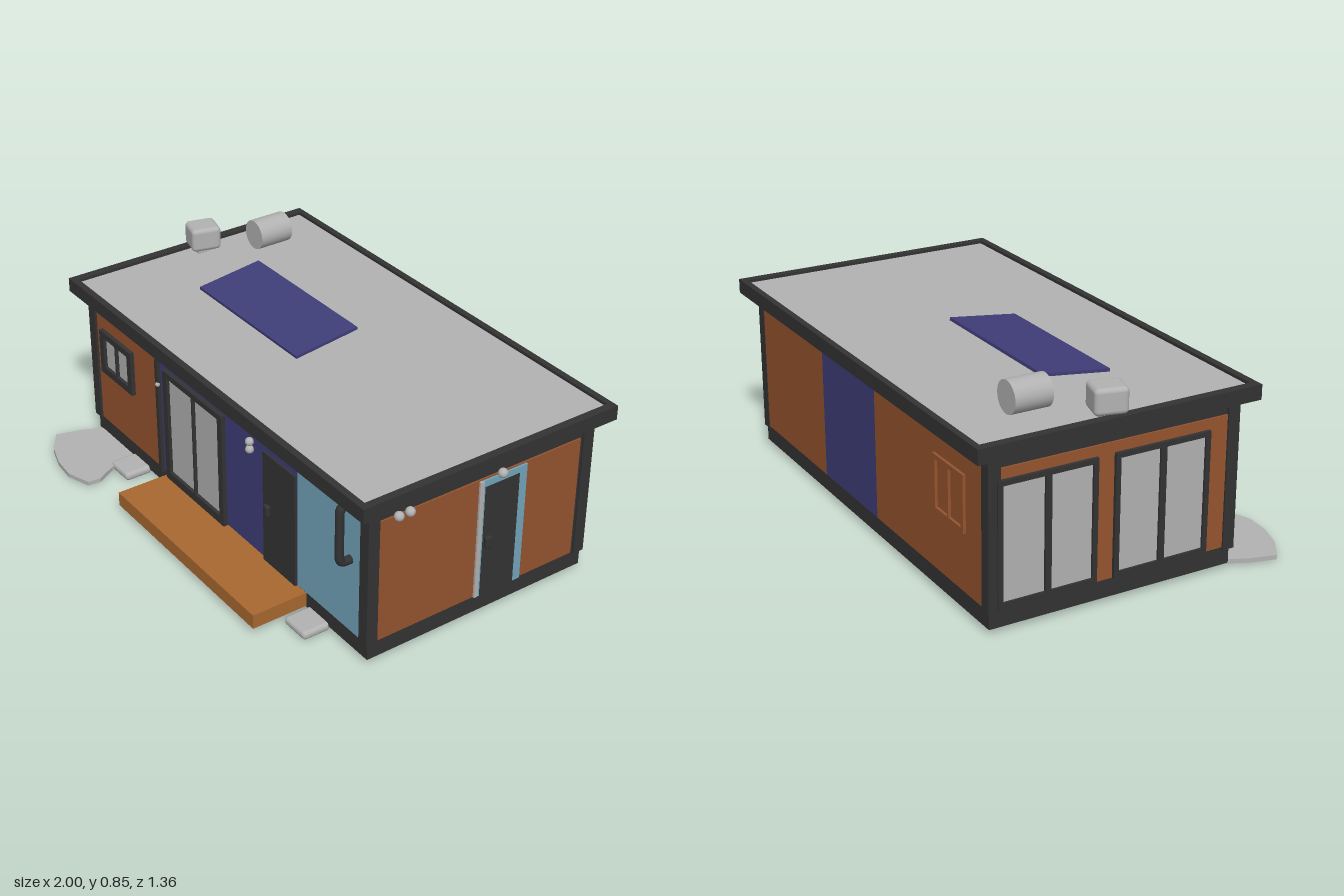
import * as THREE from 'three';
import { RoundedBoxGeometry } from 'three/addons/geometries/RoundedBoxGeometry.js';

const mat = (name, color) => {
  const m = new THREE.MeshStandardMaterial({ color });
  m.name = name;
  return m;
};

export function createModel() {
  const house = new THREE.Group();
  house.name = 'cabin';
  const dark = mat('charcoal', 0x333333);
  const rust = mat('rust', 0x95542f);
  const navy = mat('navy', 0x3f3d78);
  const sky = mat('paleBlue', 0x72a5bb);
  const grey = mat('lightGrey', 0xb2b2b2);
  const wood = mat('wood', 0xa86830);

  const add = (name, geo, material, parent = house) => {
    const m = new THREE.Mesh(geo, material);
    m.name = name;
    parent.add(m);
    return m;
  };
  // Box given by its extents
  const box = (name, material, x0, x1, y0, y1, z0, z1, parent = house) => {
    const m = add(name, new THREE.BoxGeometry(x1 - x0, y1 - y0, z1 - z0), material, parent);
    m.position.set((x0 + x1) / 2, (y0 + y1) / 2, (z0 + z1) / 2);
    return m;
  };
  // Rectangular ring in the xy plane, extruded towards +z
  const ring = (x0, x1, y0, y1, holes, depth) => {
    const rect = (T, a, b, c, d) => {
      const p = new T();
      p.moveTo(a, c); p.lineTo(b, c); p.lineTo(b, d); p.lineTo(a, d); p.closePath();
      return p;
    };
    const s = rect(THREE.Shape, x0, x1, y0, y1);
    holes.forEach(h => s.holes.push(rect(THREE.Path, ...h)));
    return new THREE.ExtrudeGeometry(s, { depth, bevelEnabled: false });
  };

  // Wall faces as groups: local x runs along the wall, local +z points outwards
  const wall = (name, x, z, turn) => {
    const g = new THREE.Group();
    g.name = name;
    g.position.set(x, 0, z);
    g.rotation.y = turn;
    house.add(g);
    return g;
  };
  const front = wall('frontWall', 0, 0.39, 0);
  const back = wall('backWall', 0, -0.61, Math.PI);
  const right = wall('leftSideWall', 0.945, 0, Math.PI / 2);
  const left = wall('rightSideWall', -0.945, 0, -Math.PI / 2);
  const panel = (g, name, m, x0, x1, y0, y1, lift = 0.007) =>
    box(name, m, x0, x1, y0, y1, -0.01, lift, g);

  // Body, underside and corner posts
  box('body', dark, -0.945, 0.945, 0.025, 0.67, -0.61, 0.39);
  box('underside', grey, -0.935, 0.935, 0.02, 0.027, -0.6, 0.38);
  for (const x of [-0.935, 0.93]) for (const z of [-0.595, 0.377])
    box('cornerPost', dark, x - 0.024, x + 0.024, 0.09, 0.67, z - 0.024, z + 0.024);

  // Roof tray with raised rim
  const rim = add('roofRim', ring(-1, 1, -0.46, 0.68, [[-0.965, 0.967, -0.432, 0.655]], 0.058), dark);
  rim.rotation.x = -Math.PI / 2;
  rim.position.y = 0.672;
  box('eaves', dark, -0.975, 0.975, 0.66, 0.7, -0.655, 0.435);
  box('roofSurface', grey, -0.966, 0.968, 0.7, 0.718, -0.656, 0.433);

  // Front panels
  panel(front, 'rustPanel', rust, -0.9, -0.425, 0.1, 0.66);
  panel(front, 'navyPanel', navy, -0.405, 0.525, 0.1, 0.615);
  panel(front, 'bluePanel', sky, 0.527, 0.91, 0.1, 0.615);
  panel(front, 'cornerStrip', dark, -0.428, -0.408, 0.09, 0.61, 0.02);

  // Front window
  add('windowFrame', ring(-0.855, -0.61, 0.35, 0.545,
    [[-0.825, -0.735, 0.38, 0.518], [-0.727, -0.64, 0.38, 0.518]], 0.025), dark, front);
  panel(front, 'windowPane', grey, -0.83, -0.635, 0.375, 0.522, 0.011);

  // Sliding glass door
  add('slidingDoorFrame', ring(-0.362, 0.057, 0.095, 0.592,
    [[-0.333, -0.154, 0.13, 0.568], [-0.147, 0.028, 0.13, 0.568]], 0.025), dark, front);
  panel(front, 'slidingDoorPane', grey, -0.34, 0.035, 0.12, 0.575, 0.011);

  // Doors with a knob handle
  const door = (g, x0, x1, knobX) => {
    panel(g, 'door', dark, x0, x1, 0.095, 0.578, 0.016);
    const k = add('doorHandle', new RoundedBoxGeometry(0.03, 0.05, 0.02, 2, 0.008), dark, g);
    k.position.set(knobX, 0.34, 0.024);
  };
  door(front, 0.318, 0.523, 0.355);

  // Small lamps
  const lamp = (g, x, y, r = 0.017) => {
    const l = add('lamp', new THREE.SphereGeometry(r, 12, 8), grey, g);
    l.position.set(x, y, 0.018);
  };
  lamp(front, 0.238, 0.578);
  lamp(front, 0.238, 0.545);
  lamp(front, -0.412, 0.5, 0.01);

  // Drainpipe
  const bend = new THREE.CatmullRomCurve3([
    [0.38, 0.65], [0.425, 0.65], [0.445, 0.63], [0.445, 0.55],
    [0.445, 0.44], [0.435, 0.415], [0.41, 0.412], [0.385, 0.412],
  ].map(([z, y]) => new THREE.Vector3(0.847, y, z)), false, 'catmullrom', 0.3);
  add('drainpipe', new THREE.TubeGeometry(bend, 32, 0.017, 10), dark);

  // Side with the entrance door (local x = -z)
  panel(right, 'rustPanel', rust, -0.357, 0.557, 0.1, 0.61);
  panel(right, 'doorSurround', sky, 0.098, 0.298, 0.1, 0.605, 0.014);
  panel(right, 'doorSurroundEdge', grey, 0.082, 0.1, 0.1, 0.605, 0.015);
  door(right, 0.106, 0.262, 0.125);
  for (const x of [-0.28, -0.232, 0.18]) lamp(right, x, 0.612, 0.019);

  // Side with four tall windows (local x = z)
  panel(left, 'rustPanel', rust, -0.58, 0.36, 0.1, 0.62);
  for (const x of [-0.575, -0.11]) {
    add('tallWindowFrame', ring(x - 0.01, x + 0.385, 0.1, 0.58,
      [[x + 0.01, x + 0.175, 0.125, 0.56], [x + 0.2, x + 0.365, 0.125, 0.56]], 0.02), dark, left);
    panel(left, 'tallWindowPane', grey, x, x + 0.375, 0.115, 0.57, 0.011);
  }

  // Back panels and shuttered window (local x = -x)
  panel(back, 'rustPanel', rust, -0.905, -0.34, 0.1, 0.63);
  panel(back, 'navyPanel', navy, -0.34, 0.11, 0.1, 0.63);
  panel(back, 'rustPanel', rust, 0.11, 0.91, 0.1, 0.63);
  add('backWindowFrame', ring(0.58, 0.8, 0.33, 0.55,
    [[0.598, 0.686, 0.348, 0.532], [0.694, 0.782, 0.348, 0.532]], 0.018), rust, back);

  // Wooden step deck
  box('deck', wood, -0.383, 0.573, 0.03, 0.09, 0.385, 0.625);

  // Tilted solar panel
  const solar = box('solarPanel', navy, -0.62, 0.055, 0.743, 0.755, -0.213, 0.073);
  solar.rotation.x = Math.atan2(0.035, 0.28);

  // Roof vent box and tank
  const vent = add('ventBox', new RoundedBoxGeometry(0.115, 0.1, 0.125, 3, 0.018), grey);
  vent.position.set(-0.932, 0.782, -0.142);
  vent.rotation.y = -0.25;
  box('ventFoot', grey, -0.965, -0.9, 0.715, 0.74, -0.18, -0.1);
  const tank = add('tank', new THREE.CylinderGeometry(0.062, 0.062, 0.15, 24), grey);
  tank.rotation.x = Math.PI / 2;
  tank.position.set(-0.79, 0.793, -0.378);

  // Stone slab and flat stones beside the deck
  const slab = new THREE.Shape([[-0.92, 0.39], [-0.96, 0.47], [-0.99, 0.58], [-0.9, 0.64], [-0.8, 0.672],
    [-0.7, 0.68], [-0.6, 0.645], [-0.595, 0.59], [-0.64, 0.51], [-0.67, 0.39]]
    .map(([x, z]) => new THREE.Vector2(x, -z)));
  const pad = add('stoneSlab', new THREE.ExtrudeGeometry(slab, { depth: 0.018, bevelEnabled: false }), grey);
  pad.rotation.x = -Math.PI / 2;
  pad.position.y = 0.01;
  for (const x of [-0.603, 0.65]) {
    const stone = add('stone', new RoundedBoxGeometry(0.13, 0.036, 0.12, 3, 0.016), grey);
    stone.position.set(x, 0.022, 0.44);
  }
  return house;
}
